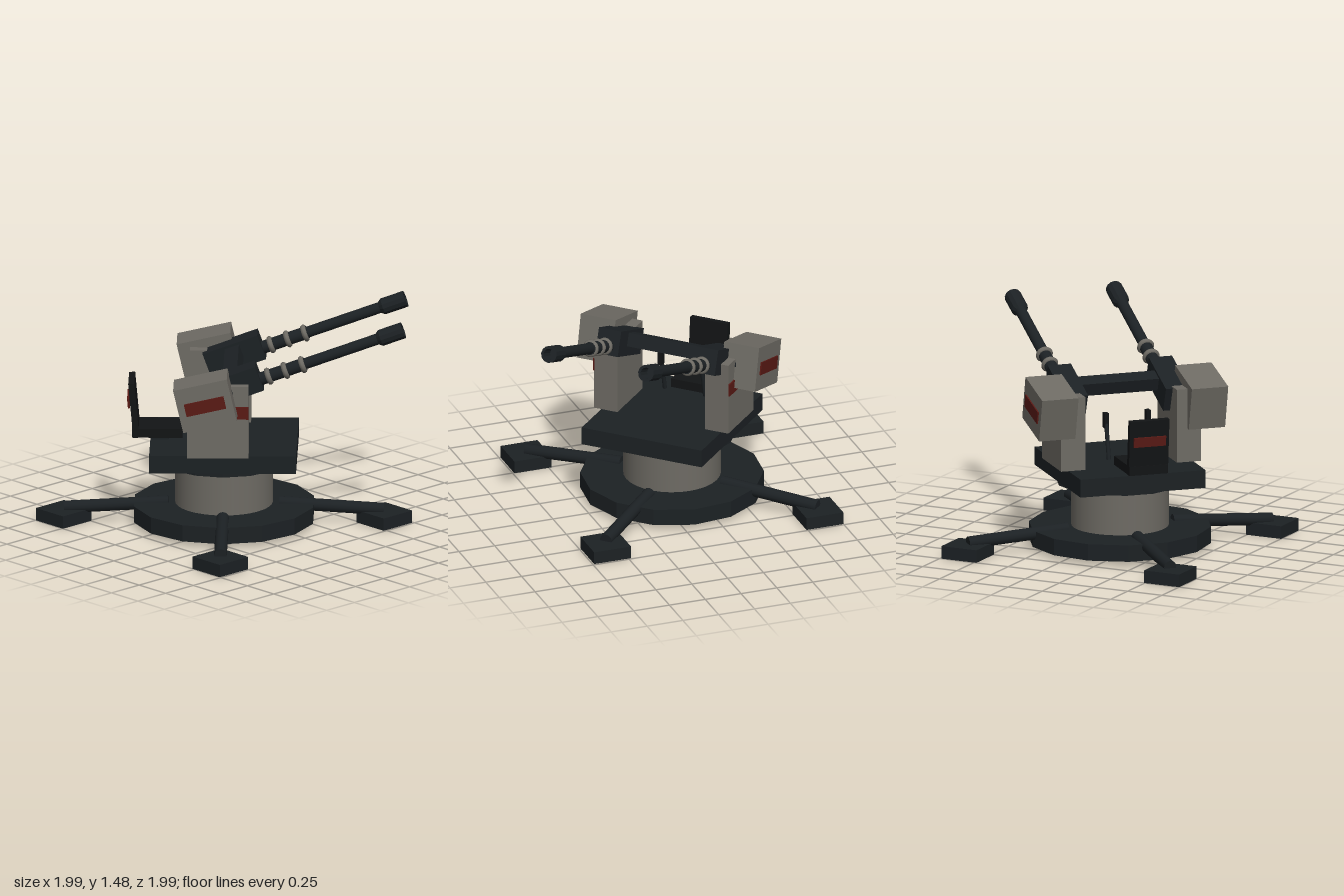
import * as THREE from 'three';

const mat = (color, extra = {}) => {
  const m = new THREE.MeshStandardMaterial({ color, ...extra });
  return m;
};
const dark = mat(0x1c2124);
const darkFlat = mat(0x1c2124, { flatShading: true });
const black = mat(0x121415);
const grey = mat(0x6e6b64);
const red = mat(0x5a1a15);

function add(parent, name, geometry, material, x = 0, y = 0, z = 0) {
  const mesh = new THREE.Mesh(geometry, material);
  mesh.name = name;
  mesh.position.set(x, y, z);
  parent.add(mesh);
  return mesh;
}
const box = (w, h, d) => new THREE.BoxGeometry(w, h, d);

// Cylinder lying along z, from z0 to z1
function rod(r0, r1, z0, z1, sides) {
  return new THREE.CylinderGeometry(r1, r0, z1 - z0, sides)
    .rotateX(Math.PI / 2).translate(0, 0, (z0 + z1) / 2);
}

// Straight cylinder between two points
function bar(parent, name, a, b, r, sides, material) {
  const dir = b.clone().sub(a);
  const mesh = add(parent, name, new THREE.CylinderGeometry(r, r, dir.length(), sides), material);
  mesh.position.copy(a).addScaledVector(dir, 0.5);
  mesh.quaternion.setFromUnitVectors(new THREE.Vector3(0, 1, 0), dir.normalize());
  return mesh;
}

function makeBase() {
  const base = new THREE.Group();
  base.name = 'base';
  const disc = new THREE.CylinderGeometry(0.6, 0.6, 0.11, 14).rotateY(Math.PI / 2);
  add(base, 'baseDisc', disc, darkFlat, 0, 0.085, 0);
  add(base, 'pedestal', new THREE.CylinderGeometry(0.32, 0.32, 0.31, 32), grey, 0, 0.285, 0);

  // Four outriggers, each with a square pad turned corner-on
  for (let i = 0; i < 4; i++) {
    const leg = new THREE.Group();
    leg.name = 'outrigger';
    leg.rotation.y = i * Math.PI / 2;
    bar(leg, 'leg', new THREE.Vector3(0, 0.135, 0.36), new THREE.Vector3(0, 0.093, 1.045), 0.042, 12, dark);
    const foot = add(leg, 'footPad', box(0.257, 0.084, 0.257), dark, 0, 0.042, 1.048);
    foot.rotation.y = Math.PI / 4;
    base.add(leg);
  }
  return base;
}

// One gun along its own z axis
function makeGun() {
  const gun = new THREE.Group();
  gun.name = 'gun';
  add(gun, 'receiver', box(0.16, 0.17, 0.38), dark, 0, 0.025, 0);
  add(gun, 'barrel', rod(0.037, 0.037, 0.17, 1.05, 14), dark);
  add(gun, 'barrelSleeve', rod(0.043, 0.043, 0.18, 0.5, 14), dark);
  for (const z of [0.245, 0.36, 0.48]) {
    add(gun, 'coolingRing', new THREE.TorusGeometry(0.039, 0.019, 8, 20), grey, 0, 0, z);
  }
  // Hollow muzzle
  const profile = [[0.037, 1.0], [0.056, 1.025], [0.056, 1.18], [0.038, 1.18], [0.034, 1.08], [0, 1.08]]
    .map(([r, y]) => new THREE.Vector2(r, y));
  const muzzle = new THREE.LatheGeometry(profile, 12).rotateX(Math.PI / 2);
  add(gun, 'muzzle', muzzle, mat(0x1c2124, { flatShading: true, side: THREE.DoubleSide }));
  return gun;
}

// Everything on one flank; s is +1 for the model's left, -1 for its right
function makeFlank(s) {
  const flank = new THREE.Group();
  flank.name = s > 0 ? 'leftFlank' : 'rightFlank';
  add(flank, 'pillar', box(0.166, 0.49, 0.4), grey, s * 0.398, 0.825, -0.03);
  add(flank, 'pillarStripe', box(0.012, 0.085, 0.4), red, s * 0.485, 0.892, -0.03);

  const gun = makeGun();
  gun.position.set(s * 0.348, 1.021, 0.07);
  gun.rotation.x = -THREE.MathUtils.degToRad(20);
  add(gun, 'feedBlock', box(0.1, 0.1, 0.12), dark, s * 0.09, 0.05, -0.06);
  flank.add(gun);

  const ammo = new THREE.Group();
  ammo.name = 'ammoBox';
  ammo.position.set(s * 0.515, 0.985, -0.11);
  ammo.rotation.x = -THREE.MathUtils.degToRad(13);
  add(ammo, 'ammoCase', box(0.25, 0.295, 0.36), grey);
  add(ammo, 'ammoStripe', box(0.012, 0.085, 0.265), red, s * 0.128, 0, 0);
  flank.add(ammo);

  // Control lever with grip
  bar(flank, 'lever', new THREE.Vector3(s * 0.144, 0.63, -0.205),
    new THREE.Vector3(s * 0.144, 0.86, -0.15), 0.014, 10, dark);
  add(flank, 'leverGrip', box(0.03, 0.1, 0.045), black, s * 0.144, 0.88, -0.14);
  return flank;
}

function makeSeat() {
  const seat = new THREE.Group();
  seat.name = 'seat';
  add(seat, 'seatCushion', box(0.26, 0.06, 0.33), black, 0, 0.64, -0.435);
  add(seat, 'seatMount', box(0.14, 0.06, 0.12), dark, 0, 0.6, -0.42);
  const back = new THREE.Group();
  back.name = 'backrest';
  back.position.set(0, 0.61, -0.57);
  back.rotation.x = -0.09;
  add(back, 'backPanel', box(0.27, 0.37, 0.04), black, 0, 0.185, 0);
  add(back, 'backStripe', box(0.22, 0.065, 0.012), red, 0, 0.23, -0.032);
  seat.add(back);
  return seat;
}

export function createModel() {
  const model = new THREE.Group();
  model.name = 'twinGunTurret';

  // Whole mount is turned diagonally
  const mount = new THREE.Group();
  mount.name = 'mount';
  mount.position.set(-0.13, 0, -0.13);
  mount.rotation.y = Math.PI / 4;
  model.add(mount);

  mount.add(makeBase());
  const ring = new THREE.CylinderGeometry(0.42, 0.42, 0.04, 14).rotateY(Math.PI / 2);
  add(mount, 'turntableRing', ring, darkFlat, 0, 0.45, 0);
  add(mount, 'platform', box(0.86, 0.12, 0.96), dark, 0, 0.52, 0);
  const cross = add(mount, 'crossBar', box(0.58, 0.09, 0.1), dark, 0, 1.07, 0.06);
  cross.rotation.x = -THREE.MathUtils.degToRad(20);
  for (const s of [-1, 1]) mount.add(makeFlank(s));
  mount.add(makeSeat());
  return model;
}
